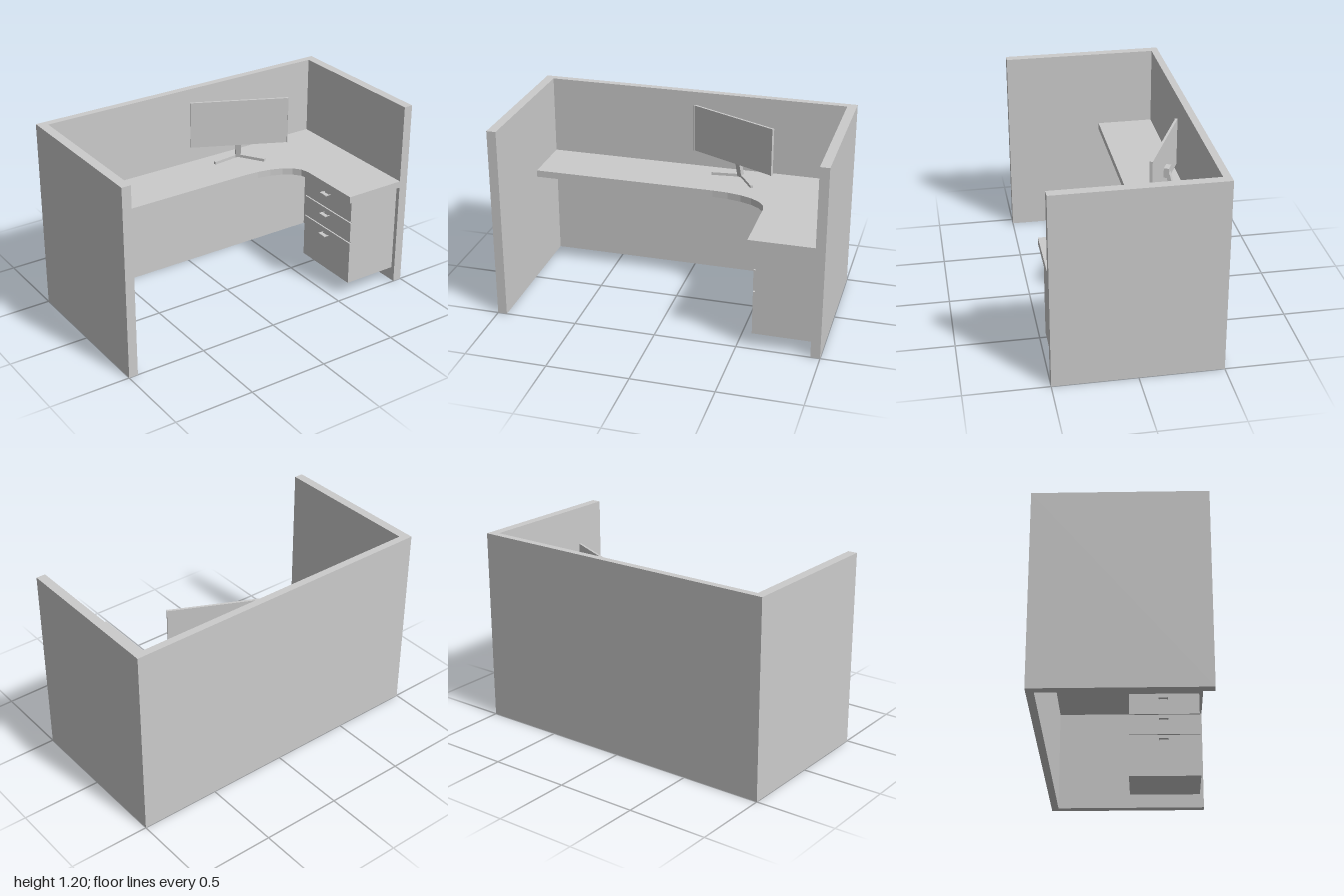
import * as THREE from 'three';

const material = new THREE.MeshStandardMaterial({ color: 0xcccccc });

function add(parent, name, geometry, x = 0, y = 0, z = 0) {
  const mesh = new THREE.Mesh(geometry, material);
  mesh.name = name;
  mesh.position.set(x, y, z);
  parent.add(mesh);
  return mesh;
}

// Box given by its minimum and maximum corners
function addBox(parent, name, [x0, y0, z0], [x1, y1, z1]) {
  return add(parent, name, new THREE.BoxGeometry(x1 - x0, y1 - y0, z1 - z0),
    (x0 + x1) / 2, (y0 + y1) / 2, (z0 + z1) / 2);
}

const outline = (points) => new THREE.Shape(points.map(([x, y]) => new THREE.Vector2(x, y)));

// Plan outline in (x, z), raised from y0 to y1
function slab(shape, y0, y1) {
  const geometry = new THREE.ExtrudeGeometry(shape, { depth: y1 - y0, bevelEnabled: false, curveSegments: 6 });
  return geometry.rotateX(Math.PI / 2).translate(0, y1, 0);
}

function createPedestal() {
  const pedestal = new THREE.Group();
  pedestal.name = 'drawerPedestal';
  addBox(pedestal, 'cabinet', [0.6, 0.09, 0.015], [0.942, 0.666, 0.475]);
  // Three drawers open toward the seat
  const drawers = [[0.09, 0.367, 0.335], [0.375, 0.508, 0.475], [0.516, 0.652, 0.62]];
  for (const [bottom, top, handleY] of drawers) {
    addBox(pedestal, 'drawerFront', [0.588, bottom, 0.015], [0.6, top, 0.475]);
    addBox(pedestal, 'drawerHandle', [0.549, handleY - 0.003, 0.21], [0.575, handleY + 0.003, 0.27]);
    for (const z of [0.213, 0.267]) {
      addBox(pedestal, 'handlePost', [0.57, handleY - 0.002, z - 0.002], [0.59, handleY + 0.002, z + 0.002]);
    }
  }
  return pedestal;
}

function createMonitor() {
  const monitor = new THREE.Group();
  monitor.name = 'monitor';
  // Thin panel with a slim raised lip down each side
  addBox(monitor, 'screen', [-0.305, 0.83, -0.009], [0.305, 1.13, 0.005]);
  for (const side of [-1, 1]) {
    add(monitor, 'screenEdge', new THREE.BoxGeometry(0.005, 0.3, 0.018), side * 0.3045, 0.98, 0);
  }
  addBox(monitor, 'mount', [-0.03, 0.9, -0.04], [0.03, 0.96, -0.008]);
  // Leaning post, drawn in side profile
  const post = new THREE.ExtrudeGeometry(
    outline([[-0.1, 0.71], [-0.07, 0.71], [-0.015, 0.94], [-0.037, 0.94]]),
    { depth: 0.032, bevelEnabled: false });
  post.rotateY(-Math.PI / 2).translate(0.02, 0, 0);
  add(monitor, 'standPost', post);
  // V-shaped foot
  const foot = outline([
    [-0.02, -0.103], [0.027, -0.103], [0.168, 0.002], [0.158, 0.016],
    [0.003, -0.08], [-0.152, 0.016], [-0.162, 0.002],
  ]);
  add(monitor, 'standFoot', slab(foot, 0.708, 0.726));
  monitor.position.set(0.278, 0, -0.278);
  monitor.rotation.y = -0.447;
  return monitor;
}

export function createModel() {
  const model = new THREE.Group();
  model.name = 'cubicleWorkstation';

  // Partition walls on three sides
  const walls = outline([
    [-1, -0.5], [1, -0.5], [1, 0.5], [0.943, 0.5],
    [0.943, -0.455], [-0.943, -0.455], [-0.943, 0.5], [-1, 0.5],
  ]);
  add(model, 'partitionWalls', slab(walls, 0, 1.2));

  // L-shaped worktop with a rounded inner corner
  const top = new THREE.Shape();
  top.moveTo(-0.943, -0.455);
  top.lineTo(0.943, -0.455);
  top.lineTo(0.943, 0.5);
  top.lineTo(0.553, 0.5);
  top.lineTo(0.553, 0.08);
  top.bezierCurveTo(0.553, -0.03, 0.4, -0.1, 0.2, -0.1);
  top.lineTo(-0.943, -0.1);
  top.closePath();
  add(model, 'worktop', slab(top, 0.665, 0.708));

  model.add(createPedestal(), createMonitor());
  return model;
}
